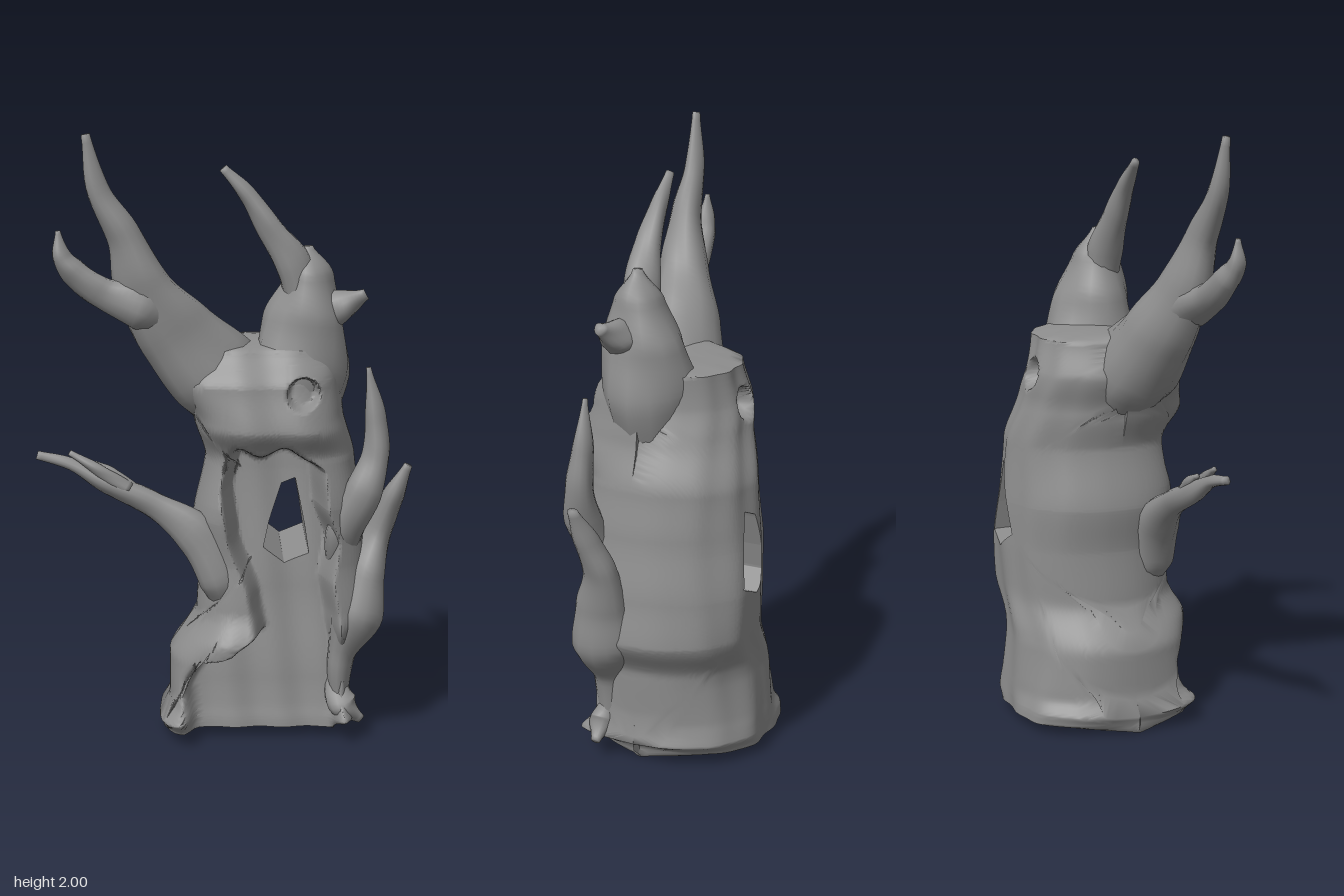
import * as THREE from 'three';
import { toCreasedNormals } from 'three/addons/utils/BufferGeometryUtils.js';

const material = new THREE.MeshStandardMaterial({ color: 0x8e8e8e, side: THREE.DoubleSide });
const smooth = (a, b, x) => THREE.MathUtils.smoothstep(x, a, b);

// Eased lookup in a list of [y, value] pairs
function lookup(table, y) {
  if (y <= table[0][0]) return table[0][1];
  for (let i = 1; i < table.length; i++) {
    const [y0, v0] = table[i - 1], [y1, v1] = table[i];
    if (y <= y1) return v0 + (v1 - v0) * (0.5 * smooth(y0, y1, y) + 0.5 * (y - y0) / (y1 - y0));
  }
  return table[table.length - 1][1];
}

// Trunk profiles by height
const leftSide = [[0, -0.2], [0.05, -0.22], [0.12, -0.18], [0.28, -0.18], [0.42, -0.09], [0.6, -0.08],
  [0.75, -0.1], [0.95, -0.06], [1.08, -0.1], [1.2, -0.16], [1.31, -0.13]];
const rightSide = [[0, 0.38], [0.06, 0.44], [0.15, 0.42], [0.33, 0.43], [0.45, 0.5], [0.6, 0.48],
  [0.8, 0.45], [0.95, 0.43], [1.1, 0.39], [1.2, 0.38], [1.31, 0.38]];
const frontDepth = [[0, 0.24], [0.06, 0.28], [0.15, 0.25], [0.35, 0.3], [0.45, 0.26], [0.6, 0.25],
  [0.8, 0.27], [0.97, 0.25], [1.06, 0.3], [1.2, 0.27], [1.31, 0.2]];
const backDepth = [[0, -0.3], [0.3, -0.28], [0.6, -0.295], [0.95, -0.27], [1.12, -0.23], [1.31, -0.19]];
// Edges and depth of the recess in the front
const recessLeft = [[0, -0.12], [0.08, -0.12], [0.2, -0.13], [0.27, -0.09], [0.32, 0.04], [0.38, 0.11],
  [0.5, 0.09], [0.7, 0.02], [0.85, 0.0], [1, 0.03]];
const recessRight = [[0, 0.38], [0.3, 0.38], [0.42, 0.36], [0.55, 0.34], [0.68, 0.36], [0.8, 0.32],
  [0.92, 0.31], [1, 0.22]];
const recessDepth = [[0, 0.16], [0.2, 0.14], [0.5, 0.11], [0.9, 0.08]];
const windowOutline = [[0.13, 0.64], [0.2, 0.585], [0.28, 0.62], [0.265, 0.72], [0.235, 0.87],
  [0.19, 0.85], [0.15, 0.73]];
const MID = 0.04;

const across = (x, y) => {
  const l = lookup(leftSide, y), r = lookup(rightSide, y);
  return THREE.MathUtils.clamp((2 * x - l - r) / (r - l), -1, 1);
};

function frontZ(x, y) {
  const u = across(x, y);
  const squareness = 4 + 8 * (1 - smooth(0.05, 0.3, y));
  let z = MID + (lookup(frontDepth, y) - MID) * Math.sqrt(1 - Math.abs(u) ** squareness);
  z += 0.006 * Math.sin(34 * x + 5 * y) * (1 - u * u);
  const top = 0.99 + 0.015 * Math.sin(x * 40);
  const inside = smooth(-0.02, 0.035, x - lookup(recessLeft, y)) *
    smooth(-0.02, 0.035, lookup(recessRight, y) - x) * smooth(-0.01, 0.045, top - y);
  const floor = lookup(recessDepth, y) + 0.006 * Math.sin(x * 40 + y * 4);
  z += (Math.min(floor, z) - z) * inside;
  // round knot hole
  return z - 0.06 * (1 - smooth(0.038, 0.056, Math.hypot(x - 0.25, y - 1.18)));
}

function backZ(x, y) {
  // the rear narrows under the crown and squares off at the foot
  const u = THREE.MathUtils.clamp(across(x, y) * (1 + 0.25 * smooth(0.95, 1.31, y)), -1, 1);
  const round = Math.sqrt(1 - Math.abs(u) ** (2.1 + 0.6 * (1 - smooth(0, 0.35, y))));
  const bark = 0.004 * Math.sin(Math.asin(u) * 13 + Math.sin(y * 6)) + 0.004 * Math.sin(x * 19 + y * 9);
  const knot = 0.06 * (1 - smooth(0.035, 0.055, Math.hypot(x - 0.11, y - 1.19)));
  return MID + (lookup(backDepth, y) - MID) * round + bark * round + knot;
}

const inTrunk = (x, y) => y > 0 && y < 1.31 && x > lookup(leftSide, y) && x < lookup(rightSide, y);
function inWindow(x, y) {
  let inside = false;
  windowOutline.forEach(([x1, y1], i) => {
    const [x2, y2] = windowOutline[(i + 1) % windowOutline.length];
    if ((y1 > y) !== (y2 > y) && x < x1 + (x2 - x1) * (y - y1) / (y2 - y1)) inside = !inside;
  });
  return inside;
}

// Distance from the window centre to the edge of a region
const CX = 0.2, CY = 0.73;
function reach(test, c, s) {
  let hi = 0;
  while (test(CX + c * hi, CY + s * hi)) hi += 0.01;
  let lo = hi - 0.01;
  for (let k = 0; k < 24; k++) {
    const m = (lo + hi) / 2;
    if (test(CX + c * m, CY + s * m)) lo = m; else hi = m;
  }
  return lo;
}

// Grid of rows x columns, wrapped round the columns and optionally the rows
function gridGeometry(rows, cols, point, wrapRows) {
  const pos = [], index = [];
  for (let i = 0; i < rows; i++) for (let j = 0; j < cols; j++) pos.push(...point(i, j));
  for (let i = 0; i < (wrapRows ? rows : rows - 1); i++) {
    for (let j = 0; j < cols; j++) {
      const a = i * cols + j, b = i * cols + (j + 1) % cols;
      const n = ((i + 1) % rows) * cols;
      const c = n + j, d = n + (j + 1) % cols;
      index.push(a, c, b, b, c, d);
    }
  }
  const g = new THREE.BufferGeometry();
  g.setAttribute('position', new THREE.Float32BufferAttribute(pos, 3));
  g.setIndex(index);
  g.computeVertexNormals();
  return g;
}

// Trunk: rings run from the window rim out over the front, round the edge,
// back over the rear and through the window again
function trunkGeometry() {
  const N = 340, F = 100, B = 48, S = 7;
  const rays = [];
  for (let j = 0; j < N; j++) {
    const t = j / N * Math.PI * 2, c = Math.cos(t), s = Math.sin(t);
    rays.push({ c, s, r0: reach(inWindow, c, s), r1: reach(inTrunk, c, s) });
  }
  const spread = (k) => 0.6 * k + 0.4 * Math.sin(k * Math.PI / 2);
  const lift = (y) => 0.035 * (1 - smooth(0, 0.12, y));
  const point = (i, j) => {
    const { c, s, r0, r1 } = rays[j];
    const at = (k) => {
      const r = r0 + (r1 - r0) * spread(k);
      return [CX + c * r, CY + s * r];
    };
    if (i < F) {
      const [x, y] = at(i / (F - 1));
      return [x, y + lift(y), frontZ(x, y)];
    }
    if (i < F + S) {
      // underside sags to the ground, top swells slightly
      const [x, y] = at(1), k = (i - F + 1) / (S + 1), arch = Math.sin(k * Math.PI);
      const top = y > 1.3 ? 0.02 * arch : 0;
      return [x, y + lift(y) * (1 - arch) + top, THREE.MathUtils.lerp(frontZ(x, y), backZ(x, y), k)];
    }
    const [x, y] = at(1 - (i - F - S) / (B - 1));
    return [x, y + lift(y), backZ(x, y)];
  };
  return toCreasedNormals(gridGeometry(F + S + B, N, point, true), 1.2);
}

// Tapering limb through points [x, y, z, radius]; depth scales it in z
function limb(name, points, depth = 1, sides = 14) {
  const curve = new THREE.CatmullRomCurve3(points.map(([x, y, z]) => new THREE.Vector3(x, y, z)));
  const radii = points.map(([, , , r], i) => [i / (points.length - 1), r]);
  const rows = points.length * 6;
  const side = new THREE.Vector3(), tangent = new THREE.Vector3(), forward = new THREE.Vector3(0, 0, 1);
  const geo = gridGeometry(rows + 2, sides, (i, j) => {
    const t = THREE.MathUtils.clamp((i - 1) / (rows - 1), 0, 1);
    const p = curve.getPoint(t);
    if (i === 0 || i === rows + 1) return p.toArray();
    curve.getTangent(t, tangent);
    side.crossVectors(tangent, forward).normalize();
    const a = j / sides * Math.PI * 2;
    const r = lookup(radii, t) * (1 + 0.07 * Math.sin(3 * a + t * 9));
    p.addScaledVector(side, Math.cos(a) * r);
    p.z -= Math.sin(a) * r * depth;
    return p.toArray();
  }, false);
  const mesh = new THREE.Mesh(geo, material);
  mesh.name = name;
  return mesh;
}

export function createModel() {
  const group = new THREE.Group();
  group.name = 'hollowTree';
  const trunk = new THREE.Mesh(trunkGeometry(), material);
  trunk.name = 'trunk';
  group.add(trunk);
  group.add(
    // Forked branch at the top
    limb('greatBranch', [[0.1, 1.08, 0.07, 0.13], [-0.04, 1.22, 0.09, 0.155], [-0.16, 1.37, 0.13, 0.125],
      [-0.255, 1.52, 0.175, 0.09], [-0.315, 1.68, 0.2, 0.055], [-0.395, 1.82, 0.21, 0.037], [-0.432, 2, 0.22, 0.014]], 0.9),
    limb('greatBranchFork', [[-0.12, 1.36, 0.13, 0.05], [-0.25, 1.455, 0.18, 0.085], [-0.38, 1.5, 0.2, 0.05],
      [-0.475, 1.57, 0.21, 0.042], [-0.512, 1.62, 0.22, 0.03], [-0.522, 1.7, 0.22, 0.008]]),
    // Crown with its horn and stub
    limb('crown', [[0.22, 1.05, 0.07, 0.13], [0.25, 1.24, 0.06, 0.155], [0.265, 1.4, 0.07, 0.13],
      [0.275, 1.54, 0.085, 0.078], [0.27, 1.635, 0.09, 0.015]]),
    limb('crownHorn', [[0.26, 1.4, 0.09, 0.06], [0.225, 1.57, 0.1, 0.06], [0.15, 1.69, 0.11, 0.042],
      [0.075, 1.8, 0.11, 0.028], [-0.003, 1.885, 0.11, 0.014]]),
    limb('crownStub', [[0.27, 1.39, 0.09, 0.07], [0.37, 1.44, 0.11, 0.055], [0.455, 1.485, 0.13, 0.018]]),
    // Low branch with twigs
    limb('lowBranch', [[0.01, 0.4, 0.14, 0.03], [-0.01, 0.55, 0.16, 0.08], [-0.09, 0.7, 0.16, 0.07],
      [-0.23, 0.8, 0.15, 0.042], [-0.38, 0.87, 0.15, 0.034], [-0.5, 0.935, 0.15, 0.02], [-0.605, 0.965, 0.15, 0.014]]),
    limb('upperTwig', [[-0.31, 0.85, 0.16, 0.025], [-0.4, 0.915, 0.17, 0.02], [-0.5, 0.975, 0.16, 0.009]]),
    limb('shortTwig', [[-0.28, 0.83, 0.15, 0.025], [-0.36, 0.9, 0.14, 0.018], [-0.42, 0.935, 0.14, 0.008]]),
    // Pair of upright side branches
    limb('innerSideBranch', [[0.38, 0.5, 0.1, 0.03], [0.385, 0.7, 0.17, 0.06], [0.45, 0.85, 0.2, 0.06],
      [0.49, 0.97, 0.19, 0.045], [0.485, 1.1, 0.18, 0.034], [0.462, 1.255, 0.18, 0.008]]),
    limb('outerSideBranch', [[0.38, 0.12, 0.15, 0.03], [0.385, 0.28, 0.15, 0.045], [0.435, 0.43, 0.14, 0.09],
      [0.465, 0.57, 0.13, 0.07], [0.51, 0.7, 0.11, 0.045], [0.55, 0.82, 0.14, 0.036], [0.597, 0.93, 0.16, 0.014]], 1.25),
    // Root toe
    limb('rootToe', [[0.37, 0.22, 0.13, 0.03], [0.39, 0.12, 0.17, 0.05], [0.455, 0.065, 0.17, 0.015]])
  );
  return group;
}
